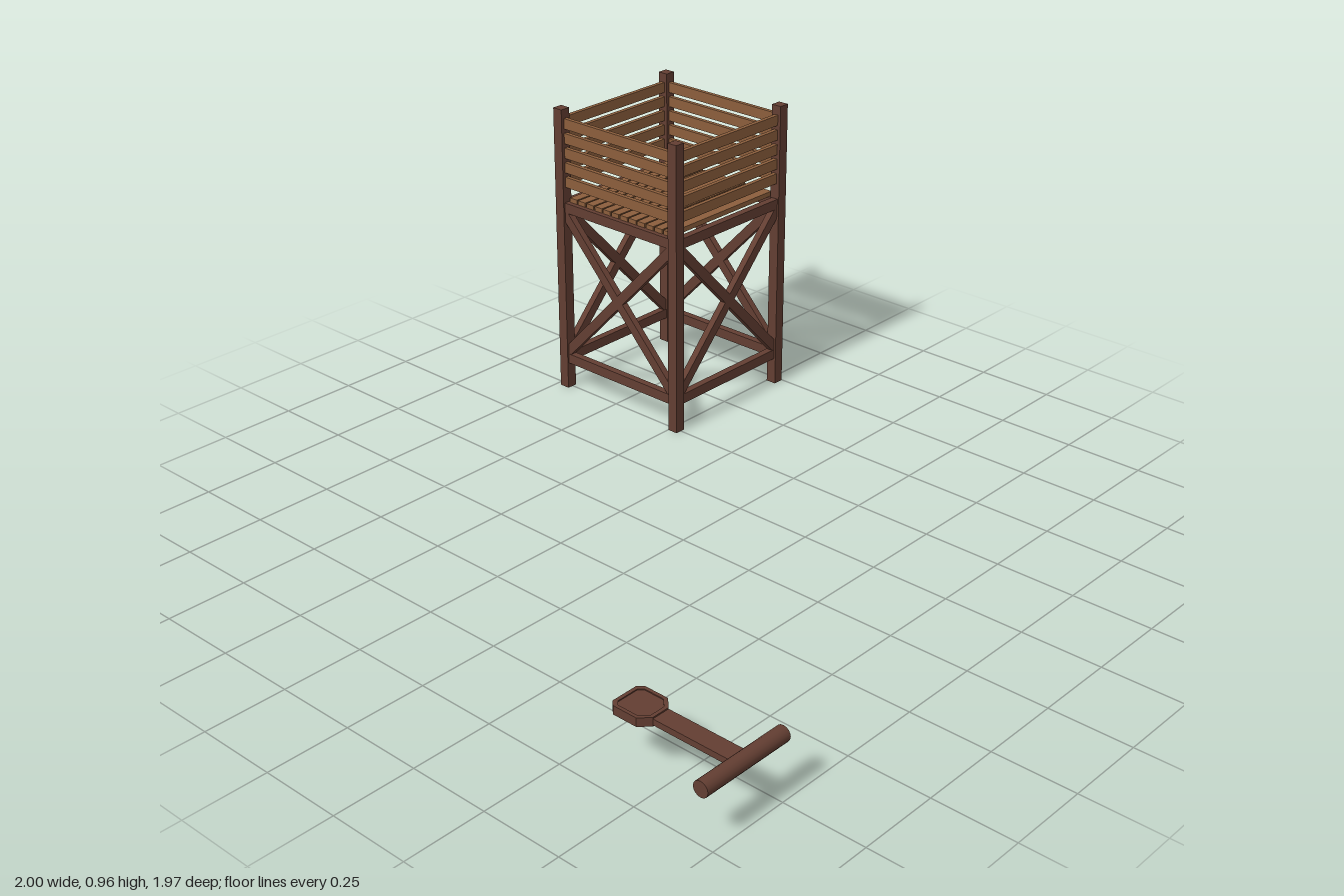
import * as THREE from 'three';

export function createModel() {
  const model = new THREE.Group();
  const darkWood = new THREE.MeshStandardMaterial({ color: 0x633e32 });
  darkWood.name = 'dark wood';
  const plankWood = new THREE.MeshStandardMaterial({ color: 0x8b5e3c });
  plankWood.name = 'plank wood';

  const add = (parent, name, geometry, material, x = 0, y = 0, z = 0) => {
    const mesh = new THREE.Mesh(geometry, material);
    mesh.name = name;
    mesh.position.set(x, y, z);
    parent.add(mesh);
    return mesh;
  };
  const box = (w, h, d) => new THREE.BoxGeometry(w, h, d);

  // Watchtower
  const tower = new THREE.Group();
  tower.name = 'watchtower';
  tower.position.set(0.739, 0, -0.724);
  model.add(tower);
  const R = 0.242; // post centre distance
  const span = 2 * R - 0.03;

  for (const sx of [-1, 1])
    for (const sz of [-1, 1])
      add(tower, 'cornerPost', box(0.035, 0.963, 0.035), darkWood, sx * R, 0.4815, sz * R);

  // Four identical sides: beams, cross braces and railing planks
  for (let i = 0; i < 4; i++) {
    const side = new THREE.Group();
    side.name = 'towerSide';
    side.rotation.y = i * Math.PI / 2;
    tower.add(side);
    add(side, 'lowerBeam', box(span, 0.033, 0.024), darkWood, 0, 0.106, R);
    add(side, 'floorBeam', box(span, 0.033, 0.024), darkWood, 0, 0.636, R);
    const length = Math.hypot(2 * 0.232, 0.49);
    for (const s of [-1, 1]) {
      const brace = add(side, 'crossBrace', box(length, 0.032, 0.022), darkWood, 0, 0.372, R);
      brace.rotation.z = s * Math.atan2(0.49, 2 * 0.232);
    }
    for (let k = 0; k < 5; k++)
      add(side, 'railingPlank', box(span, 0.034, 0.014), plankWood, 0, 0.721 + k * 0.0486, R);
  }

  // Floor planks
  for (let i = 0; i < 12; i++)
    add(tower, 'floorPlank', box(0.476, 0.016, 0.031), plankWood, 0, 0.659, (i - 5.5) * 0.0367);

  // T-handled spade lying flat
  const spade = new THREE.Group();
  spade.name = 'spade';
  spade.position.set(-0.853, 0.158, 0);
  model.add(spade);
  const grip = add(spade, 'gripBar', new THREE.CylinderGeometry(0.023, 0.023, 0.294, 16), darkWood, 0, 0, 0.961);
  grip.rotation.z = Math.PI / 2;
  add(spade, 'shaft', box(0.056, 0.018, 0.26), darkWood, 0, 0, 0.825);

  // Chamfered head with a shallow recess on both faces
  const outline = [[-0.042, 0.582], [0.042, 0.582], [0.056, 0.597], [0.056, 0.674],
    [0.028, 0.702], [-0.028, 0.702], [-0.056, 0.674], [-0.056, 0.597]].map(p => new THREE.Vector2(...p));
  const centre = new THREE.Vector2(0, 0.642);
  const inner = outline.map(p => p.clone().sub(centre).multiplyScalar(0.82).add(centre));
  const rimShape = new THREE.Shape(outline);
  rimShape.holes.push(new THREE.Path(inner));
  const slab = (shape, depth) => new THREE.ExtrudeGeometry(shape, { depth, bevelEnabled: false })
    .rotateX(Math.PI / 2).translate(0, depth / 2, 0);
  add(spade, 'headRim', slab(rimShape, 0.026), darkWood);
  add(spade, 'headPlate', slab(new THREE.Shape(inner), 0.02), darkWood);

  return model;
}
